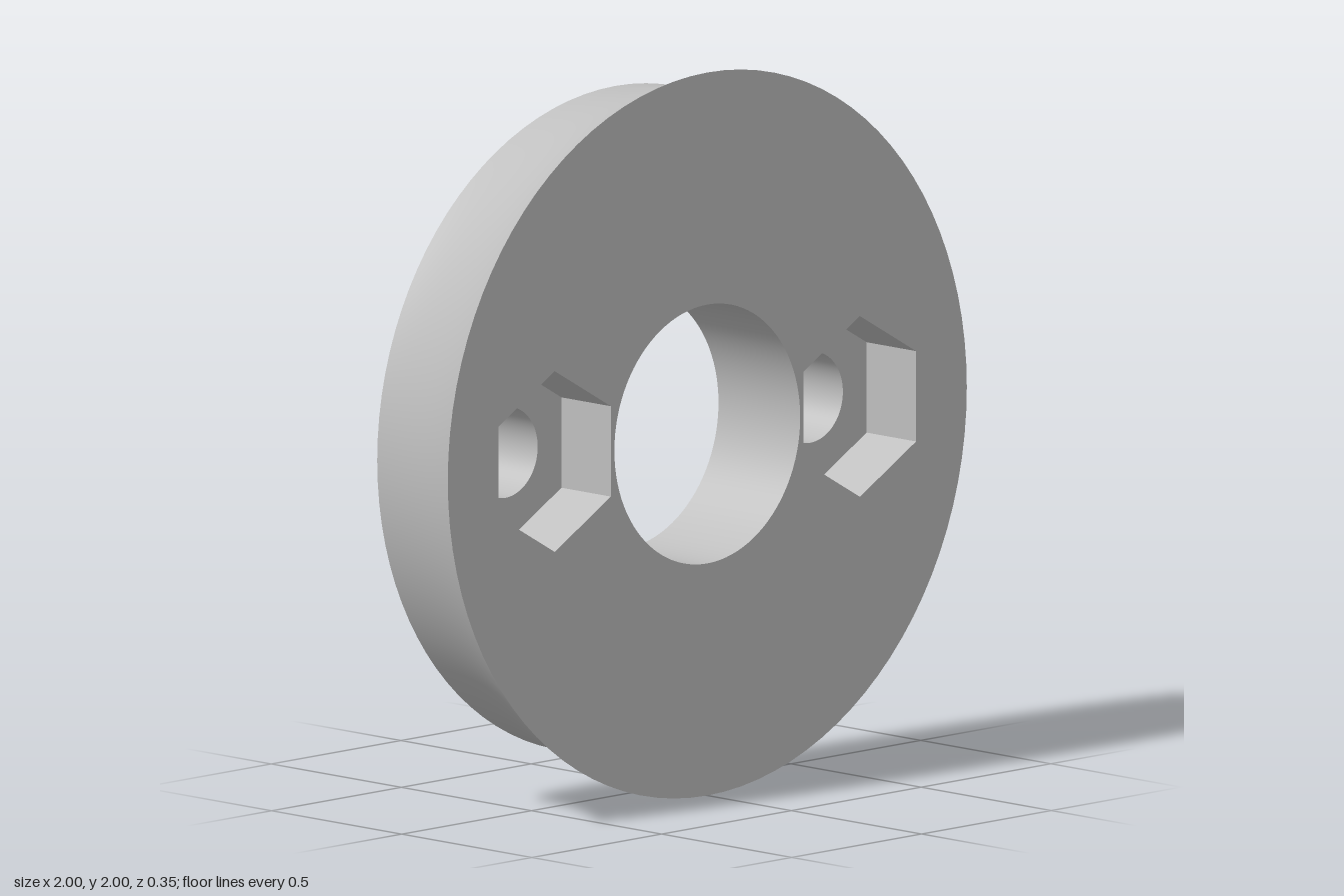
import * as THREE from 'three';

const SEG = 96;
const FRONT = 0.177, BACK = -0.177;
const RIM = 1, BACK_RADIUS = 0.917;
const BORE = 0.358, RECESS = 0.405, LEDGE = BACK + 0.04;
const BOLT_X = 0.588, BOLT = 0.125, HEX = 0.25, HEX_FLOOR = FRONT - 0.19;

// Circle or hexagon outline; n sides, first corner at angle start
function outline(Type, x, r, n = SEG, start = 0) {
  const pts = [];
  for (let i = 0; i < n; i++) {
    const a = start + (i / n) * Math.PI * 2;
    pts.push(new THREE.Vector2(x + r * Math.cos(a), r * Math.sin(a)));
  }
  return new Type(pts);
}
const hexagon = (Type, x) => outline(Type, x, HEX, 6, Math.PI / 2);

// Flat plate with holes at depth z, facing front or back
function face(shape, holes, z, back = false) {
  shape.holes.push(...holes);
  const g = new THREE.ShapeGeometry(shape);
  if (back) g.rotateY(Math.PI);
  return g.translate(0, 0, z);
}

// Surface of revolution about z; points are [radius, z].
// Rising z faces outward, falling z faces inward.
function revolve(points, n = SEG) {
  const g = new THREE.LatheGeometry(points.map(([r, z]) => new THREE.Vector2(r, z)), n);
  return g.rotateX(Math.PI / 2);
}
const innerWall = (r, z0, z1) => revolve([[r, z1], [r, z0]]);

export function createModel() {
  const model = new THREE.Group();
  model.name = 'clampingDisc';
  const grey = new THREE.MeshStandardMaterial({ color: 0xbfbfbf });
  grey.name = 'grey';

  const add = (name, geometry, x = 0) => {
    const mesh = new THREE.Mesh(geometry, grey);
    mesh.name = name;
    mesh.position.set(x, 1, 0);
    model.add(mesh);
  };

  // Concave rim: circular arc, parallel to the axis at the back face
  const depth = FRONT - BACK, flare = RIM - BACK_RADIUS;
  const arc = (depth * depth + flare * flare) / (2 * flare);
  const profile = [];
  for (let i = 0; i <= 20; i++) {
    const d = (depth * i) / 20;
    profile.push([BACK_RADIUS + arc - Math.sqrt(arc * arc - d * d), BACK + d]);
  }
  add('concaveRim', revolve(profile));

  // Front and back faces
  add('frontFace', face(outline(THREE.Shape, 0, RIM), [
    outline(THREE.Path, 0, BORE),
    hexagon(THREE.Path, BOLT_X),
    hexagon(THREE.Path, -BOLT_X),
  ], FRONT));
  add('backFace', face(outline(THREE.Shape, 0, BACK_RADIUS), [
    outline(THREE.Path, 0, RECESS),
    outline(THREE.Path, BOLT_X, BOLT),
    outline(THREE.Path, -BOLT_X, BOLT),
  ], BACK, true));

  // Central bore with a shallow recess at the back
  add('boreWall', innerWall(BORE, LEDGE, FRONT));
  add('recessWall', innerWall(RECESS, BACK, LEDGE));
  add('recessLedge', face(outline(THREE.Shape, 0, RECESS),
    [outline(THREE.Path, 0, BORE)], LEDGE, true));

  // Hexagonal nut pockets with bolt holes
  for (const [side, x] of [['left', BOLT_X], ['right', -BOLT_X]]) {
    const walls = revolve([[HEX, FRONT], [HEX, HEX_FLOOR]], 6).toNonIndexed();
    walls.computeVertexNormals();
    add(side + 'PocketWalls', walls, x);
    add(side + 'PocketFloor', face(hexagon(THREE.Shape, 0),
      [outline(THREE.Path, 0, BOLT)], HEX_FLOOR), x);
    add(side + 'BoltHole', innerWall(BOLT, BACK, HEX_FLOOR), x);
  }
  return model;
}
